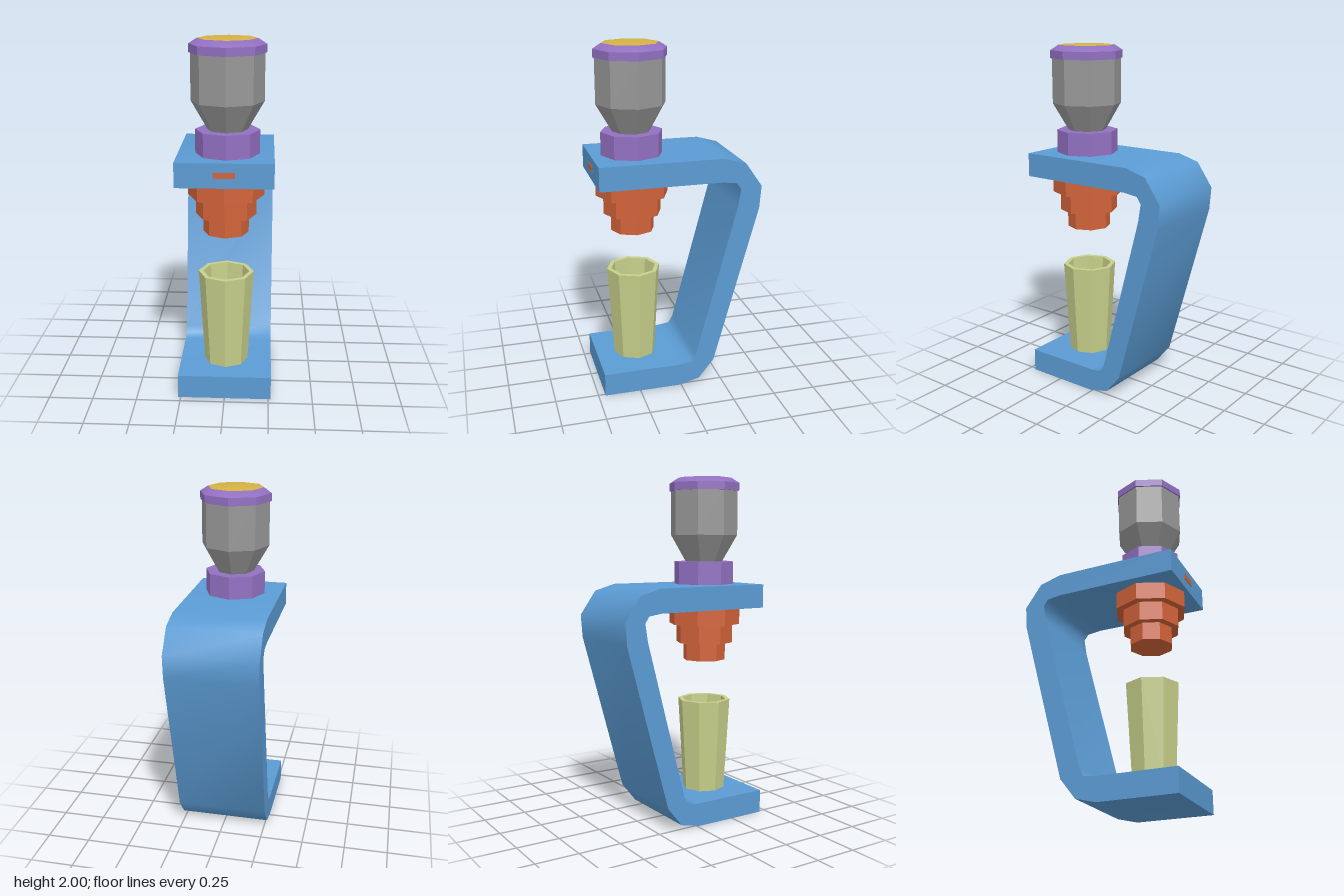
import * as THREE from 'three';
import { toCreasedNormals } from 'three/addons/utils/BufferGeometryUtils.js';

const material = (name, color, opts = {}) => {
  const m = new THREE.MeshStandardMaterial({ color, ...opts });
  m.name = name;
  return m;
};

export function createModel() {
  const flat = { flatShading: true };
  const blue = material('frame blue', 0x5b9bd3);
  const grey = material('chamber grey', 0x979797, flat);
  const purple = material('trim purple', 0x9270c2, flat);
  const purpleSmooth = material('lid purple', 0x9270c2);
  const yellow = material('lid yellow', 0xd6b244);
  const orange = material('holder orange', 0xd2633a, flat);
  const green = material('cup green', 0xc6cf8a, { flatShading: true, side: THREE.DoubleSide });

  const model = new THREE.Group();
  model.name = 'pressStand';
  const add = (name, geometry, mat, x = 0, y = 0, z = 0) => {
    const mesh = new THREE.Mesh(geometry, mat);
    mesh.name = name;
    mesh.position.set(x, y, z);
    model.add(mesh);
    return mesh;
  };

  // C-shaped frame: side profile (z, y) extruded across the width
  const width = 0.528;
  const profile = [
    [0.46, 0], [0.01, 0], [-0.11, 0.03], [-0.2, 0.143], [-0.456, 1.08],
    [-0.466, 1.21], [-0.37, 1.347], [-0.243, 1.383], [0.46, 1.383],
    [0.46, 1.247], [-0.238, 1.247], [-0.318, 1.236], [-0.344, 1.2],
    [-0.328, 1.098], [-0.09, 0.19], [-0.064, 0.145], [0, 0.136], [0.46, 0.136],
  ].map(([z, y]) => new THREE.Vector2(z, y));
  const frame = new THREE.ExtrudeGeometry(new THREE.Shape(profile), { depth: width, bevelEnabled: false });
  frame.translate(0, 0, -width / 2).rotateY(-Math.PI / 2);
  add('frame', toCreasedNormals(frame, 1.0), blue);

  // Front badge plate
  add('frontPlate', new THREE.BoxGeometry(0.116, 0.031, 0.008), orange, 0, 1.318, 0.46);

  // Eight-sided turned parts, given by bottom and top radius and height
  const Z = 0.224;
  const ring = (name, rBottom, rTop, y0, y1, mat, x = 0) =>
    add(name, new THREE.CylinderGeometry(rTop, rBottom, y1 - y0, 8), mat, x, (y0 + y1) / 2, Z);

  // Stepped holder under the arm
  [[0.212, 1.146, 1.247], [0.169, 1.034, 1.146], [0.127, 0.93, 1.034]]
    .forEach(([r, y0, y1], i) => ring(`holderStep${i + 1}`, r, r, y0, y1, orange));

  // Collar and chamber on top of the arm
  const X = 0.008;
  ring('collar', 0.177, 0.177, 1.383, 1.515, purple, X);
  ring('chamberTaper', 0.11, 0.199, 1.515, 1.67, grey, X);
  ring('chamber', 0.199, 0.199, 1.67, 1.925, grey, X);
  ring('lidBand', 0.208, 0.208, 1.925, 1.97, purple, X);

  // Softly shaded lid: purple slope around a yellow centre
  const lid = new THREE.LatheGeometry(
    [[0.208, 1.97], [0.161, 2], [0, 2]].map(([r, y]) => new THREE.Vector2(r, y)), 8);
  const perSide = lid.index.count / 8;
  for (let i = 0; i < 8; i++) {
    lid.addGroup(i * perSide, 6, 0);
    lid.addGroup(i * perSide + 6, perSide - 6, 1);
  }
  add('lid', lid, [purpleSmooth, yellow], X, 0, Z);

  // Hollow tapered cup on the base
  const cup = new THREE.LatheGeometry(
    [[0, 0.137], [0.126, 0.137], [0.158, 0.688], [0.132, 0.688], [0.104, 0.17], [0, 0.17]]
      .map(([r, y]) => new THREE.Vector2(r, y)), 8);
  add('cup', cup, green, 0, 0, Z);

  return model;
}
